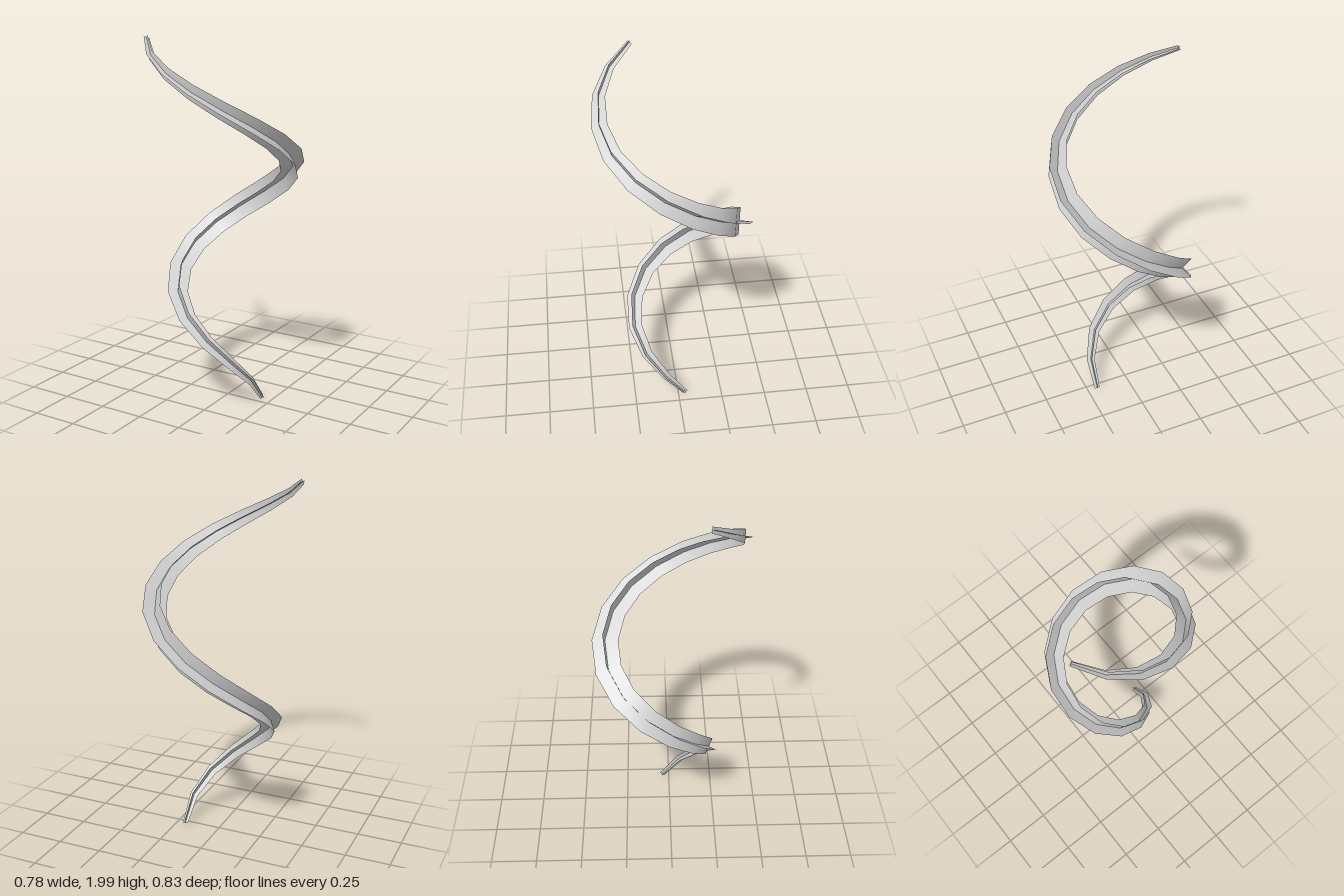
import * as THREE from 'three';

const RINGS = 20;
const rad = THREE.MathUtils.degToRad;

// Widening spiral that climbs at a steady pitch
function spinePath() {
  const start = -5, end = 511, points = [];
  for (let i = 0; i <= 80; i++) {
    const t = i / 80;
    const deg = start + (end - start) * t;
    const r = 0.214 + 0.206 * t;
    const y = 0.075 + (0.336 * deg) / 90 - 0.04 * Math.exp(-(deg - start) / 25);
    points.push(new THREE.Vector3(
      -0.018 + r * Math.cos(rad(deg)), y, -0.022 + r * Math.sin(rad(deg))));
  }
  const curve = new THREE.CatmullRomCurve3(points);
  curve.arcLengthDivisions = 800;
  return curve;
}

// Flat strip along the path, broad in the middle and narrow at both ends
function ribbon(curve, sides) {
  const pos = [], index = [];
  for (let i = 0; i <= RINGS; i++) {
    const t = i / RINGS;
    const half = 0.015 + 0.0575 * Math.sin(Math.PI * t);
    const centre = curve.getPointAt(t);
    for (const s of [-1, 0, 1]) {
      pos.push(...centre.clone().addScaledVector(sides[i], s * half).toArray());
    }
    if (i < RINGS) {
      for (let k = 0; k < 2; k++) {
        const a = i * 3 + k, b = a + 3;
        index.push(a, b, a + 1, a + 1, b, b + 1);
      }
    }
  }
  const geo = new THREE.BufferGeometry();
  geo.setAttribute('position', new THREE.Float32BufferAttribute(pos, 3));
  geo.setIndex(index);
  geo.computeVertexNormals();
  return geo;
}

export function createModel() {
  const group = new THREE.Group();
  group.name = 'spiralTrail';
  const material = new THREE.MeshStandardMaterial({ color: 0xcccccc, side: THREE.DoubleSide });

  // Two ribbons crossing at right angles along the same spine
  const curve = spinePath();
  const frames = curve.computeFrenetFrames(RINGS);
  const parts = { radialRibbon: frames.normals, uprightRibbon: frames.binormals };
  for (const [name, sides] of Object.entries(parts)) {
    const mesh = new THREE.Mesh(ribbon(curve, sides), material);
    mesh.name = name;
    group.add(mesh);
  }
  return group;
}
